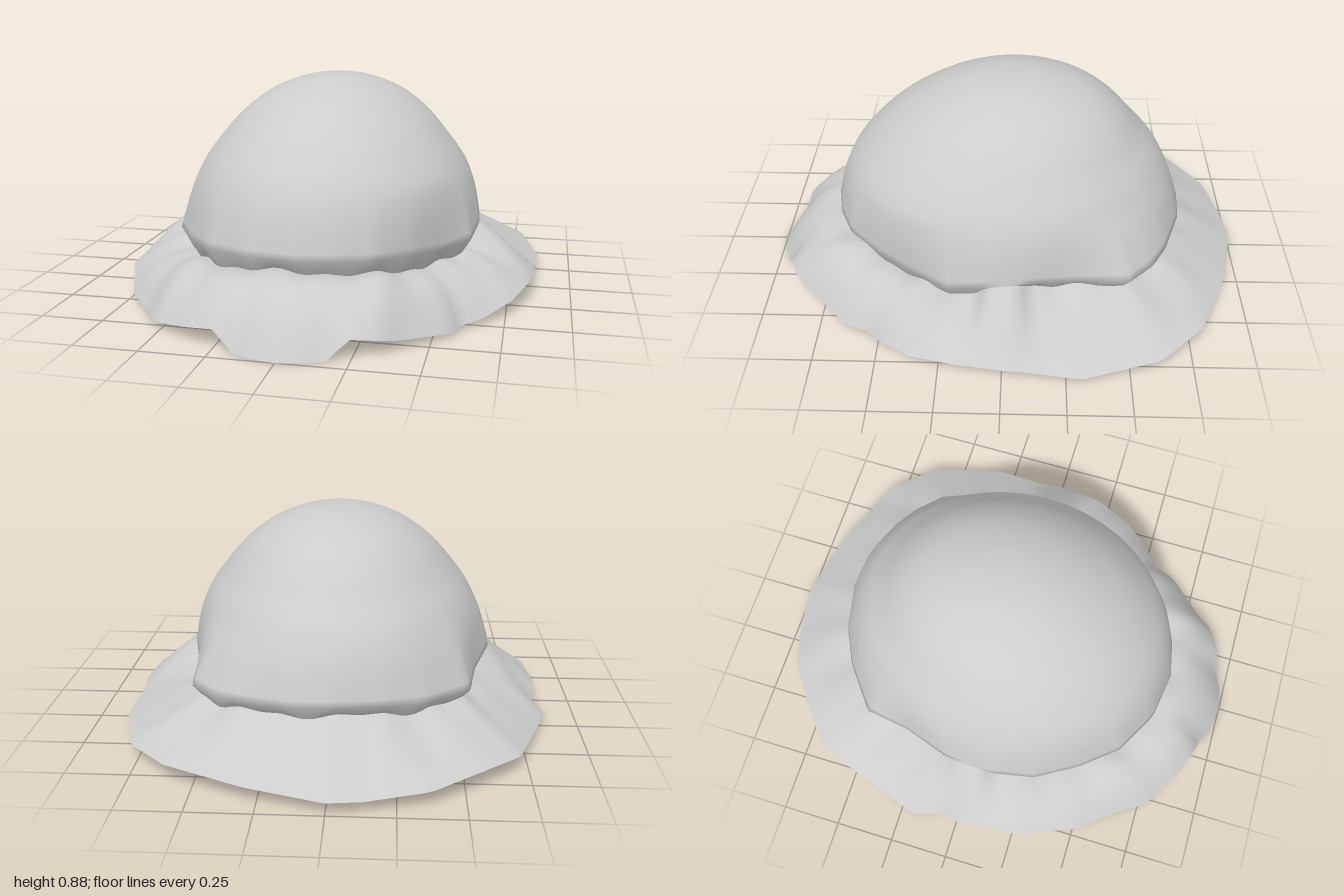
import * as THREE from 'three';

const SEGMENTS = 144;

// Rim of the brim, round from the front over the left side: [x, z, y]
const rim = [
  [0, 1, 0.005], [0.07, 0.99, 0.005], [0.17, 0.952, 0.005], [0.24, 0.925, 0.08], [0.345, 0.875, 0.065],
  [0.4, 0.81, 0.045], [0.57, 0.64, 0.02], [0.6, 0.55, 0.02], [0.67, 0.49, 0.03], [0.77, 0.36, 0.06],
  [0.83, 0.2, 0.085], [0.855, 0, 0.08], [0.85, -0.1, 0.065], [0.865, -0.31, 0.05], [0.78, -0.62, 0.07],
  [0.61, -0.8, 0.08], [0.3, -0.93, 0.07], [0, -1, 0.055], [-0.13, -0.985, 0.055], [-0.37, -0.93, 0.07],
  [-0.6, -0.76, 0.08], [-0.715, -0.65, 0.07], [-0.8, -0.4, 0.045], [-0.87, -0.18, 0.03],
  [-0.83, -0.08, 0.04], [-0.85, 0.03, 0.08], [-0.825, 0.27, 0.08], [-0.72, 0.52, 0.035],
  [-0.6, 0.67, 0.025], [-0.53, 0.78, 0.03], [-0.37, 0.88, 0.06], [-0.24, 0.93, 0.08],
  [-0.17, 0.952, 0.005], [-0.07, 0.99, 0.005],
];

// Lower edge of the crown: [x, z, y]
const seam = [
  [0, 0.73, 0.28], [0.15, 0.7, 0.28], [0.28, 0.64, 0.275], [0.4, 0.51, 0.265], [0.5, 0.36, 0.25],
  [0.6, 0.22, 0.26], [0.62, 0.05, 0.29], [0.61, -0.08, 0.3], [0.57, -0.25, 0.28], [0.55, -0.5, 0.265],
  [0.45, -0.6, 0.265], [0.35, -0.66, 0.275], [0.15, -0.73, 0.285], [0, -0.74, 0.29], [-0.2, -0.7, 0.285],
  [-0.35, -0.63, 0.27], [-0.53, -0.49, 0.265], [-0.56, -0.3, 0.275], [-0.63, -0.1, 0.3],
  [-0.64, 0.1, 0.285], [-0.6, 0.28, 0.26], [-0.5, 0.45, 0.255], [-0.38, 0.6, 0.27], [-0.2, 0.7, 0.28],
];

// Turns a closed outline into a function of angle giving radius and height
function polar(points) {
  const list = points.map(([x, z, y]) => {
    const a = Math.atan2(x, z);
    return { a: a < -1e-6 ? a + 2 * Math.PI : a, x, z, y };
  });
  list.push({ ...list[0], a: 2 * Math.PI });
  return (angle) => {
    let k = 1;
    while (k < list.length - 1 && list[k].a < angle) k++;
    const p = list[k - 1], q = list[k];
    const t = (angle - p.a) / (q.a - p.a);
    const r = (p.x * q.z - p.z * q.x) / (Math.sin(angle) * (q.z - p.z) - Math.cos(angle) * (q.x - p.x));
    return { r, y: p.y + (q.y - p.y) * t };
  };
}

// Closed rings joined from the first one downwards
function loft(ringCount, pointAt) {
  const positions = [], index = [];
  for (let j = 0; j < ringCount; j++) {
    for (let i = 0; i < SEGMENTS; i++) {
      positions.push(...pointAt(j, (i / SEGMENTS) * Math.PI * 2));
      if (j === ringCount - 1) continue;
      const a = j * SEGMENTS + i, b = j * SEGMENTS + ((i + 1) % SEGMENTS);
      index.push(a, a + SEGMENTS, b, b, a + SEGMENTS, b + SEGMENTS);
    }
  }
  const geometry = new THREE.BufferGeometry();
  geometry.setAttribute('position', new THREE.Float32BufferAttribute(positions, 3));
  geometry.setIndex(index);
  geometry.computeVertexNormals();
  return geometry;
}

const rimAt = polar(rim), seamAt = polar(seam);

// Inner edge of the brim, tucked under the crown except at the two sides
function foldAt(angle) {
  const edge = seamAt(angle);
  const tuck = THREE.MathUtils.smoothstep(Math.abs(Math.cos(angle)), 0.06, 0.2);
  const diagonal = Math.max(0, Math.cos(angle)) * Math.abs(Math.sin(angle));
  const uneven = 0.007 * Math.sin(angle * 11) + 0.006 * Math.sin(angle * 23 + 1);
  return { r: edge.r - 0.04 * tuck, y: edge.y - (0.045 + 0.04 * diagonal + uneven) * tuck - 0.004 };
}

export function createModel() {
  const cloth = new THREE.MeshStandardMaterial({ color: 0xcccccc, side: THREE.DoubleSide });
  cloth.name = 'pale grey cloth';

  // Crown: dome profile of width fraction and height, closed below by the tuck
  const profile = new THREE.SplineCurve([
    [0.002, 0.887], [0.2, 0.875], [0.43, 0.82], [0.62, 0.73], [0.77, 0.62],
    [0.87, 0.53], [0.945, 0.42], [1, 0.28],
  ].map(([w, h]) => new THREE.Vector2(w, h))).getPoints(28);
  const crown = new THREE.Mesh(loft(profile.length + 1, (j, angle) => {
    const sin = Math.sin(angle), cos = Math.cos(angle);
    if (j === profile.length) {
      const fold = foldAt(angle);
      return [sin * fold.r, fold.y, cos * fold.r];
    }
    const { x: w, y: h } = profile[j];
    const edge = seamAt(angle);
    const low = THREE.MathUtils.clamp((0.5 - h) / 0.22, 0, 1);
    // The uneven lower edge rounds out into an oval higher up
    const oval = 1 / Math.hypot(sin / 0.63, cos / 0.735);
    const r = THREE.MathUtils.lerp(oval, edge.r, low) * w;
    const shift = -0.035 * THREE.MathUtils.smoothstep(h, 0.62, 0.85);
    return [sin * r, h + (edge.y - 0.28) * low, cos * r + shift];
  }), cloth);
  crown.name = 'crown';

  // Brim: a skirt that runs straight at the back and curls down at the front
  const steps = 12;
  const brim = new THREE.Mesh(loft(steps + 1, (j, angle) => {
    const f = j / steps;
    const fold = foldAt(angle), outer = rimAt(angle);
    const front = THREE.MathUtils.smoothstep(Math.cos(angle), -0.1, 0.9);
    const droop = THREE.MathUtils.lerp(f, f ** 2.3, front);
    const puff = 0.015 * Math.sin(Math.PI * f) * front;
    const pleat = 0.004 * Math.sin(angle * 17) * Math.sin(Math.PI * f);
    const r = fold.r + (outer.r - fold.r) * f;
    const y = fold.y + (outer.y - fold.y) * droop + puff + pleat;
    return [Math.sin(angle) * r, y, Math.cos(angle) * r];
  }), cloth);
  brim.name = 'brim';

  const hat = new THREE.Group();
  hat.name = 'hat';
  hat.add(crown, brim);
  // Stand the lowest point of the brim on the ground
  hat.position.y = -new THREE.Box3().setFromObject(hat).min.y;
  const model = new THREE.Group();
  model.name = 'softHat';
  model.add(hat);
  return model;
}
